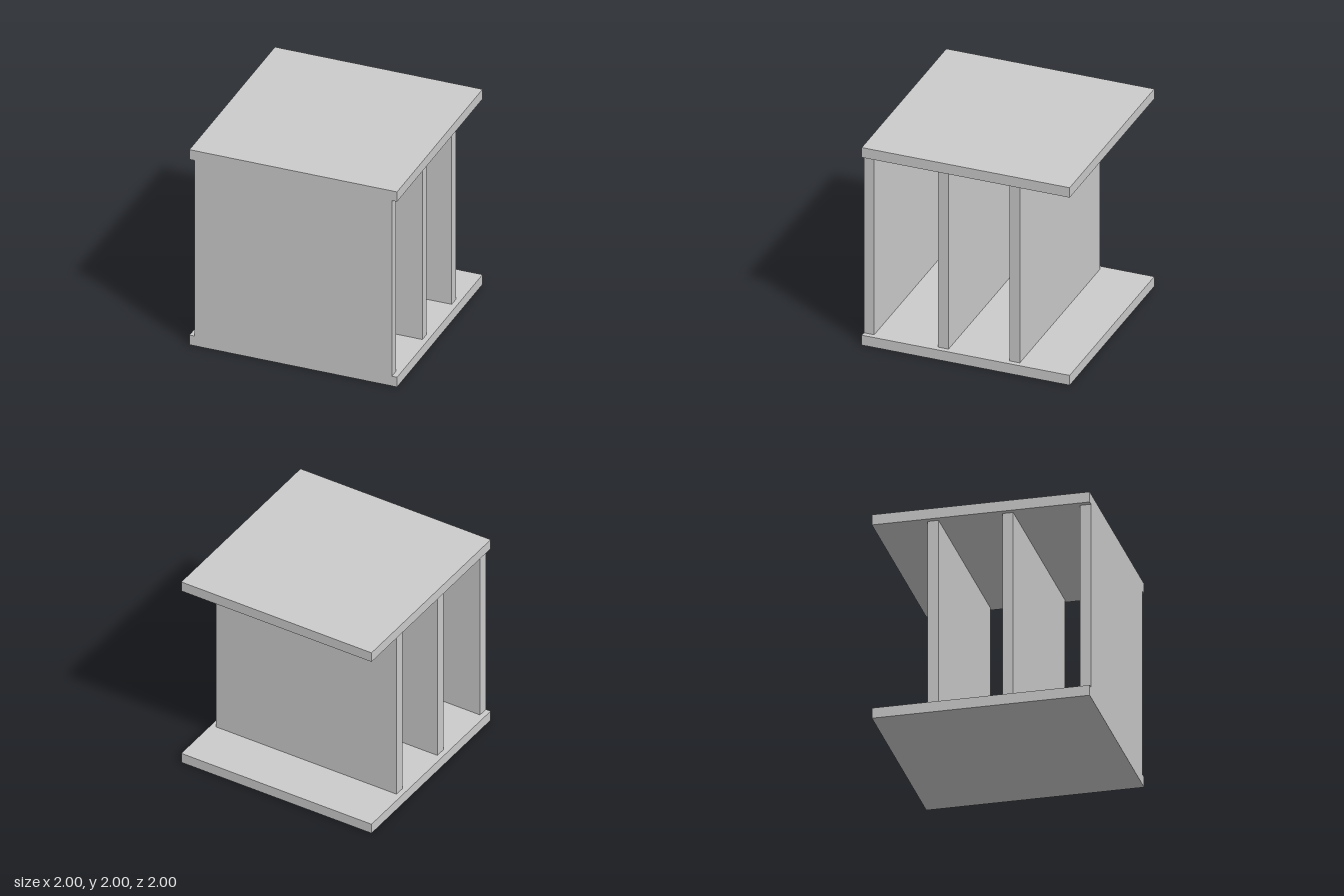
import * as THREE from 'three';

export function createModel() {
  const model = new THREE.Group();
  const material = new THREE.MeshStandardMaterial({ color: 0xcccccc, flatShading: true });

  function addBox(name, size, position) {
    const mesh = new THREE.Mesh(new THREE.BoxGeometry(...size), material);
    mesh.name = name;
    mesh.position.set(...position);
    model.add(mesh);
  }

  const thickness = 0.1;

  // Square slabs at the bottom and top
  addBox('bottomSlab', [2, thickness, 2], [0, thickness / 2, 0]);
  addBox('topSlab', [2, thickness, 2], [0, 2 - thickness / 2, 0]);

  // Upright panels between the slabs, slightly narrower than them
  const panels = { frontPanel: 0.95, middlePanel: 0.235, rearPanel: -0.45 };
  for (const [name, z] of Object.entries(panels)) {
    addBox(name, [1.9, 2 - 2 * thickness, thickness], [0, 1, z]);
  }

  return model;
}
